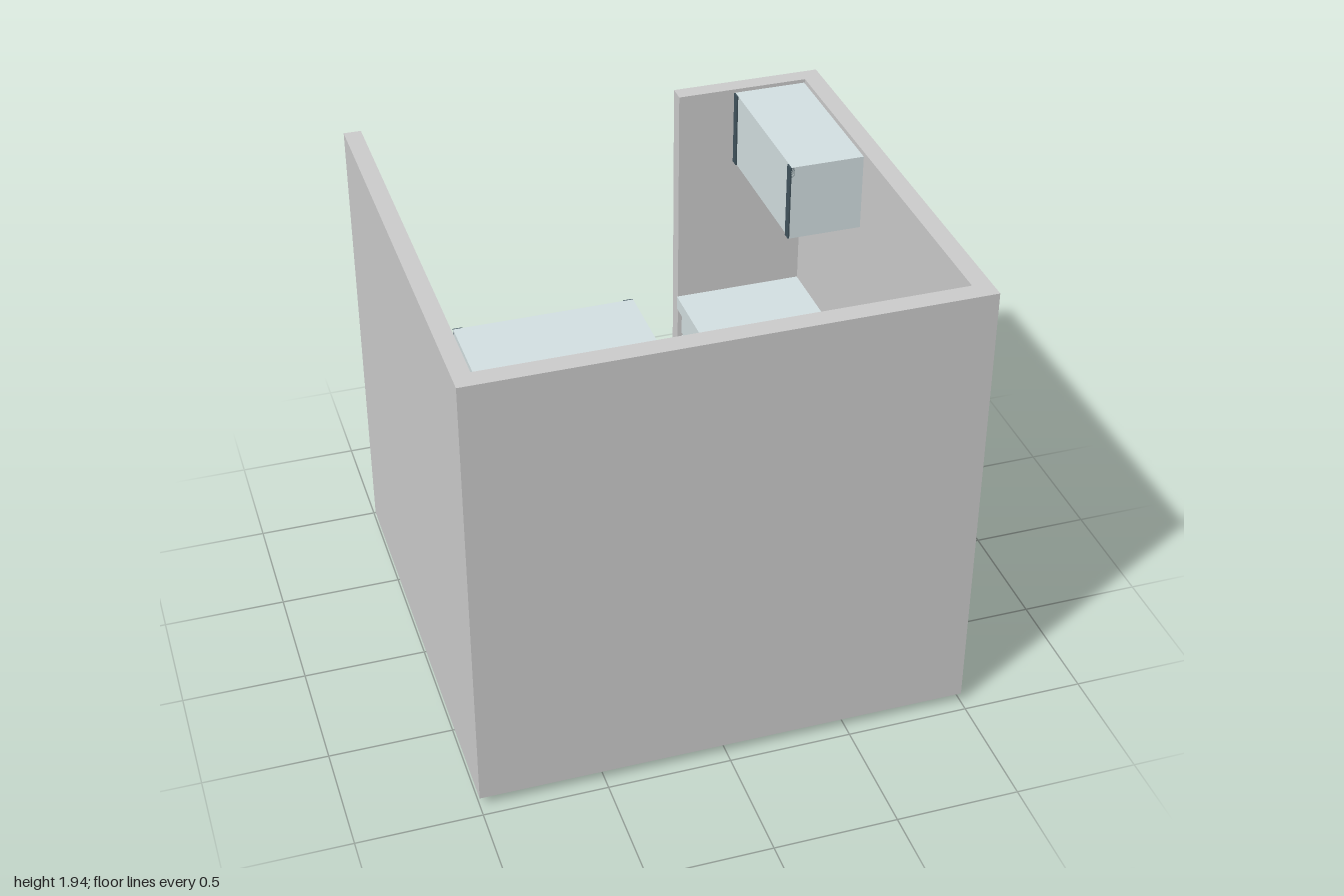
import * as THREE from 'three';

const grey = new THREE.MeshStandardMaterial({ color: 0xcccccc });
const panel = new THREE.MeshStandardMaterial({ color: 0xd3dfe1 });
const trim = new THREE.MeshStandardMaterial({ color: 0x41535c });
const black = new THREE.MeshStandardMaterial({ color: 0x1a1a1a });

function add(parent, name, geometry, material) {
  const mesh = new THREE.Mesh(geometry, material);
  mesh.name = name;
  parent.add(mesh);
  return mesh;
}

// Box given by its limits on each axis
function box(parent, name, [x0, x1], [y0, y1], [z0, z1], material) {
  const mesh = add(parent, name, new THREE.BoxGeometry(x1 - x0, y1 - y0, z1 - z0), material);
  mesh.position.set((x0 + x1) / 2, (y0 + y1) / 2, (z0 + z1) / 2);
  return mesh;
}

// Floor outline of [x, z] points raised from y0 to y1
function slab(parent, name, outline, y0, y1, material) {
  const shape = new THREE.Shape(outline.map(([x, z]) => new THREE.Vector2(x, -z)));
  const geometry = new THREE.ExtrudeGeometry(shape, { depth: y1 - y0, bevelEnabled: false });
  geometry.rotateX(-Math.PI / 2).translate(0, y0, 0);
  return add(parent, name, geometry, material);
}

function tube(parent, name, points, radius, material) {
  const path = new THREE.CatmullRomCurve3(points.map((p) => new THREE.Vector3(...p)));
  return add(parent, name, new THREE.TubeGeometry(path, 32, radius, 10), material);
}

// Wall cabinet built along x with its front towards -z, centred on its length
function wallCabinet(name, length, depth) {
  const group = new THREE.Group();
  group.name = name;
  const h = length / 2;
  box(group, 'cabinetBody', [-h, h], [1.61, 1.93], [0.006, depth], panel);
  for (const s of [-1, 1]) {
    const ends = [s * h, s * (h - 0.035)].sort((a, b) => a - b);
    box(group, 'cabinetEdgeStrip', ends, [1.61, 1.929], [0, 0.02], trim);
  }
  return group;
}

export function createModel() {
  const model = new THREE.Group();
  model.name = 'officeCubicle';

  // Partition walls, open at the back
  slab(model, 'partitionWalls', [
    [-1, -0.95], [-1, 0.95], [1, 0.95], [1, -0.91], [0.375, -0.91],
    [0.375, -0.84], [0.925, -0.84], [0.925, 0.87], [-0.93, 0.87], [-0.93, -0.95],
  ], 0.04, 1.94, grey);

  // L-shaped desk top
  slab(model, 'deskTop', [
    [0.37, -0.838], [0.37, 0.41], [-0.928, 0.41], [-0.928, 0.868], [0.923, 0.868], [0.923, -0.838],
  ], 0.92, 0.98, panel);

  // Drawer pedestal: dark carcass lines show between the drawer fronts
  const pedestal = new THREE.Group();
  pedestal.name = 'drawerPedestal';
  model.add(pedestal);
  box(pedestal, 'pedestalBody', [0.41, 0.922], [0.042, 0.92], [-0.838, -0.31], panel);
  box(pedestal, 'pedestalFrame', [0.403, 0.41], [0.042, 0.92], [-0.838, -0.31], trim);
  for (const [y0, y1] of [[0.795, 0.895], [0.675, 0.783], [0.042, 0.663]]) {
    box(pedestal, 'drawerFront', [0.39, 0.404], [y0, y1], [-0.83, -0.312], panel);
    const y = y1 - 0.035;
    tube(pedestal, 'drawerHandle', [
      [0.395, y, -0.66], [0.36, y, -0.645], [0.337, y, -0.6], [0.337, y, -0.55],
      [0.36, y, -0.505], [0.395, y, -0.49],
    ], 0.011, black);
  }

  // Overhead cabinets on the front and side walls
  const frontCabinet = wallCabinet('frontCabinet', 0.66, 0.298);
  frontCabinet.position.set(-0.59, 0, 0.57);
  const sideCabinet = wallCabinet('sideCabinet', 0.67, 0.308);
  sideCabinet.rotation.y = Math.PI / 2;
  sideCabinet.position.set(0.61, 0, -0.495);
  model.add(frontCabinet, sideCabinet);

  // Power strip on the floor with its cord running to the wall
  box(model, 'powerStrip', [-0.31, 0.14], [0.04, 0.09], [0.71, 0.8], trim);
  tube(model, 'powerCord', [
    [0.13, 0.06, 0.75], [0.16, 0.04, 0.78], [0.2, 0.02, 0.82],
    [0.235, 0.013, 0.855], [0.257, 0.022, 0.89], [0.258, 0.05, 0.91],
  ], 0.013, black);

  return model;
}
